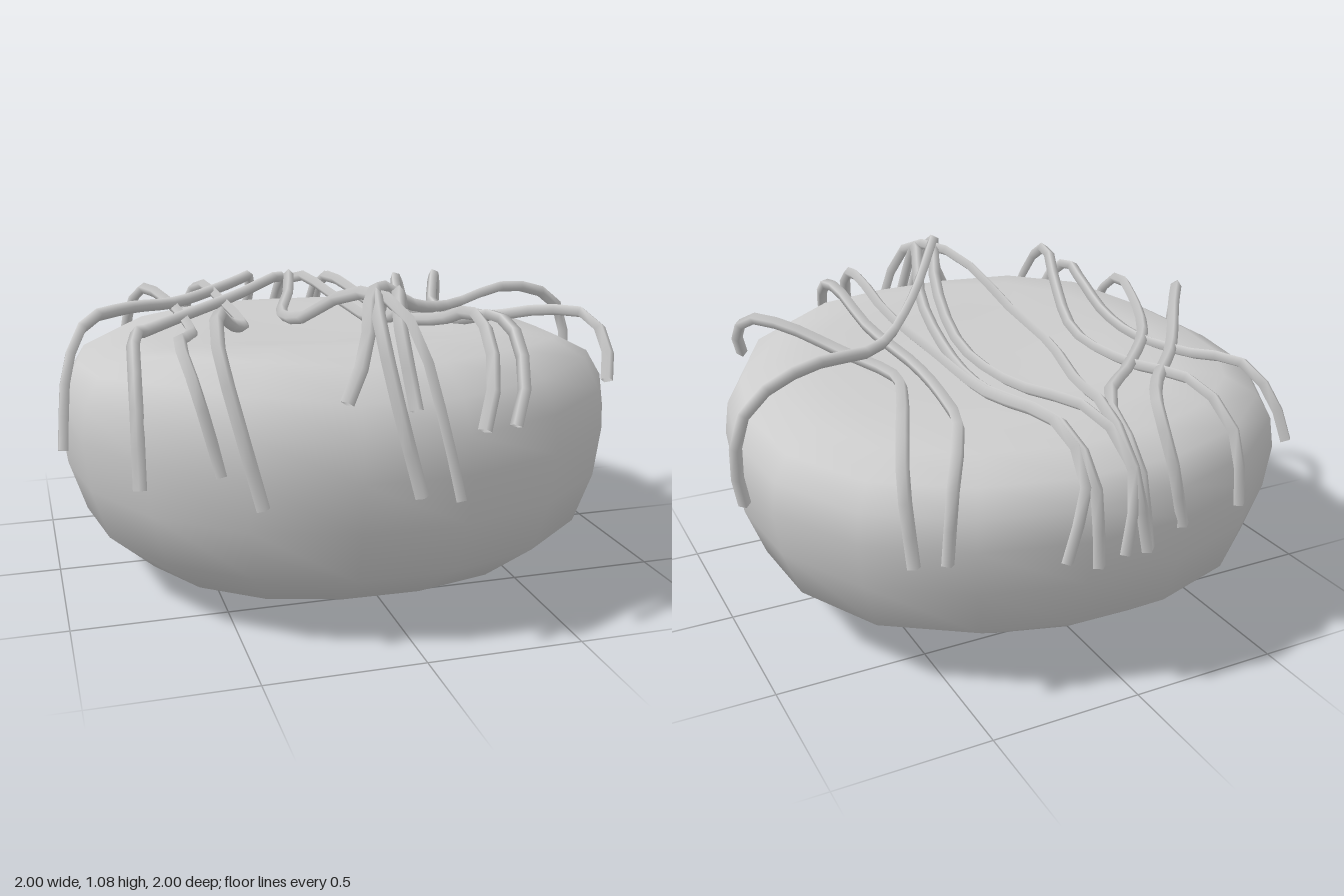
import * as THREE from 'three';
import { mergeVertices } from 'three/addons/utils/BufferGeometryUtils.js';

const material = new THREE.MeshStandardMaterial({ color: 0xcccccc });
const strandMaterial = new THREE.MeshStandardMaterial({ color: 0xcccccc, side: THREE.DoubleSide });

// Weight of a soft bulge pointing along a direction on the ground plane
const bulge = (x, z, dirX, dirZ) => Math.max(0, (x * dirX + z * dirZ) / (Math.hypot(x, z) || 1)) ** 10;

// Rounded body: a lathe made uneven, swelling at the top front and bulging at two corners
function makeBody() {
  const profile = [[0, 0.03], [0.22, 0.028], [0.43, 0.018], [0.69, 0.095], [0.875, 0.23], [0.935, 0.4], [0.955, 0.55],
    [0.94, 0.65], [0.89, 0.73], [0.78, 0.785], [0.62, 0.805], [0.42, 0.803], [0.2, 0.8], [0, 0.8]]
    .map(([r, y]) => new THREE.Vector2(r, y));
  let geo = new THREE.LatheGeometry(profile, 18, Math.PI / 18);
  geo.deleteAttribute('uv');
  geo.deleteAttribute('normal');
  geo = mergeVertices(geo, 1e-4);
  const p = geo.attributes.position;
  for (let i = 0; i < p.count; i++) {
    const x = p.getX(i), y = p.getY(i), z = p.getZ(i);
    const upper = THREE.MathUtils.clamp((y - 0.5) / 0.27, 0, 1);
    const lower = THREE.MathUtils.clamp((0.25 - y) / 0.15, 0, 1);
    const swell = 0.083 * Math.exp(-(((z - 0.65) / 0.36) ** 2));
    const diagonal = (2 * x * z / (x * x + z * z || 1)) ** 2;
    const widen = 1 + 0.018 * diagonal + 0.055 * bulge(x, z, 0.82, -0.57) + 0.07 * lower * bulge(x, z, 0.57, 0.82);
    p.setXYZ(i, x * widen - 0.015 - 0.03 * lower, y + upper * (swell - 0.012 * x) + 0.02 * lower * x, z * widen);
  }
  geo.computeVertexNormals();
  const mesh = new THREE.Mesh(geo, material);
  mesh.name = 'body';
  return mesh;
}

// One thin strand draped over the body, from its back end to its front end
function strand(...points) {
  const curve = new THREE.CatmullRomCurve3(points.map((q) => new THREE.Vector3(...q)), false, 'centripetal');
  const mesh = new THREE.Mesh(new THREE.TubeGeometry(curve, 20, 0.021, 4, false), strandMaterial);
  mesh.name = 'strand';
  return mesh;
}

export function createModel() {
  const model = new THREE.Group();
  model.name = 'drizzledBun';
  model.add(makeBody());

  const strands = new THREE.Group();
  strands.name = 'strands';
  strands.add(
    // right side
    strand([-0.66, 0.66, -0.8], [-0.64, 0.79, -0.74], [-0.6, 0.88, -0.63], [-0.53, 0.86, -0.4], [-0.51, 0.84, -0.12],
      [-0.53, 0.855, 0.12], [-0.6, 0.9, 0.42], [-0.64, 0.92, 0.6], [-0.62, 0.82, 0.74], [-0.56, 0.57, 0.79]),
    strand([-0.41, 0.53, -0.9], [-0.4, 0.75, -0.87], [-0.37, 0.87, -0.72], [-0.32, 0.845, -0.35], [-0.33, 0.845, 0],
      [-0.44, 0.92, 0.34], [-0.52, 1.0, 0.56], [-0.55, 0.93, 0.73], [-0.52, 0.75, 0.83], [-0.46, 0.49, 0.88]),
    strand([-0.17, 0.53, -0.94], [-0.13, 0.75, -0.92], [-0.13, 0.87, -0.84], [-0.24, 0.88, -0.66], [-0.5, 0.87, -0.36],
      [-0.73, 0.915, -0.04], [-0.88, 0.91, 0.16], [-0.95, 0.79, 0.27], [-0.98, 0.55, 0.35]),
    strand([-0.03, 0.5, -0.97], [-0.01, 0.77, -0.92], [-0.02, 0.885, -0.74], [-0.27, 0.865, -0.45], [-0.53, 0.855, -0.14],
      [-0.68, 0.875, 0.15], [-0.75, 0.9, 0.38], [-0.77, 0.77, 0.56], [-0.78, 0.5, 0.65]),
    // middle
    strand([-0.02, 0.5, -0.98], [0.02, 0.75, -0.95], [0.02, 0.885, -0.8], [-0.05, 0.865, -0.5], [-0.17, 0.855, -0.1],
      [-0.17, 0.9, 0.2], [-0.12, 1.01, 0.46], [-0.05, 1.05, 0.65], [0, 0.98, 0.84], [0.05, 0.75, 0.94], [0.1, 0.5, 0.98]),
    strand([0.05, 0.5, -0.97], [0.02, 0.75, -0.95], [0.05, 0.875, -0.8], [0.12, 0.845, -0.35], [0.11, 0.855, 0.05],
      [0.04, 0.965, 0.4], [-0.06, 1.06, 0.65], [-0.1, 1.0, 0.82], [-0.08, 0.78, 0.94], [-0.02, 0.52, 0.98]),
    strand([0.14, 0.48, -0.97], [0.15, 0.75, -0.94], [0.17, 0.865, -0.8], [0.22, 0.845, -0.35], [0.17, 0.855, 0.05],
      [0.12, 0.94, 0.36], [0.03, 1.045, 0.6], [-0.03, 0.995, 0.79], [-0.02, 0.76, 0.92]),
    strand([0.23, 0.5, -0.94], [0.17, 0.75, -0.93], [0.18, 0.865, -0.8], [0.23, 0.845, -0.4], [0.22, 0.845, 0],
      [0.26, 0.9, 0.35], [0.27, 0.97, 0.6], [0.25, 0.94, 0.78], [0.22, 0.83, 0.91], [0.17, 0.7, 0.97]),
    // left side
    strand([0.56, 0.52, -0.83], [0.53, 0.75, -0.81], [0.46, 0.865, -0.7], [0.37, 0.845, -0.4], [0.33, 0.845, -0.08],
      [0.36, 0.88, 0.28], [0.37, 0.945, 0.55], [0.36, 0.92, 0.74], [0.33, 0.8, 0.88], [0.29, 0.69, 0.92]),
    strand([0.66, 0.53, -0.82], [0.66, 0.77, -0.76], [0.6, 0.885, -0.62], [0.51, 0.865, -0.4], [0.43, 0.845, -0.14],
      [0.51, 0.855, 0.13], [0.65, 0.91, 0.34], [0.74, 0.91, 0.47], [0.76, 0.83, 0.57], [0.73, 0.73, 0.64]),
    // strand crossing diagonally over the others
    strand([0.96, 0.5, -0.15], [0.985, 0.65, -0.18], [0.96, 0.8, -0.19], [0.86, 0.88, -0.16], [0.68, 0.915, -0.1],
      [0.42, 0.885, 0.04], [0.18, 0.945, 0.31], [-0.02, 1.06, 0.58], [-0.1, 1.05, 0.73], [-0.15, 0.92, 0.85], [-0.22, 0.79, 0.9]),
  );
  model.add(strands);
  return model;
}
